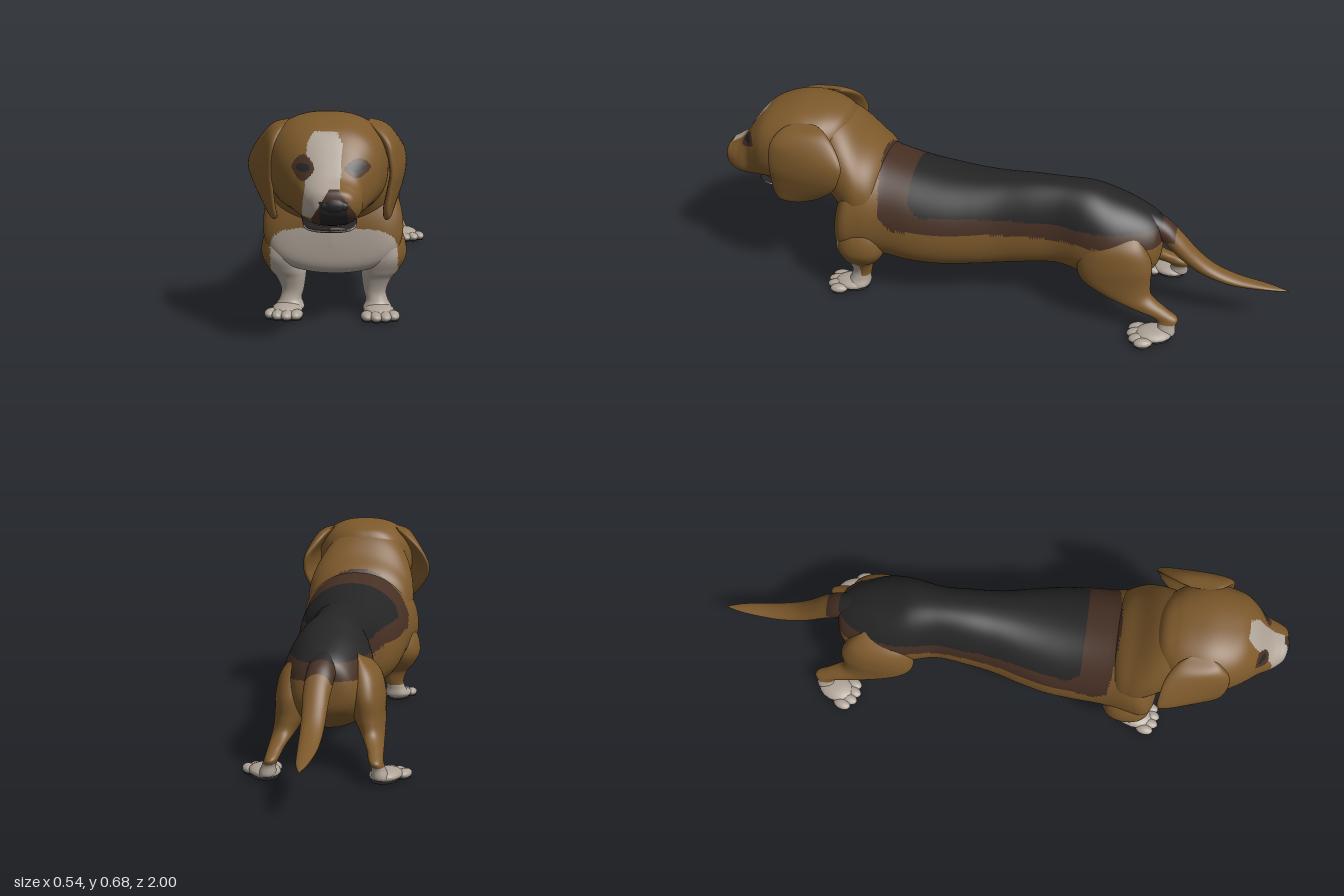
import * as THREE from 'three';

const colours = {
  tan: 0x7d592b, brown: 0x473024, black: 0x252525, white: 0xaea397, pink: 0xb8686c,
};
const NAMES = Object.keys(colours);
const MATS = NAMES.map((name) => {
  const m = new THREE.MeshStandardMaterial({ color: colours[name] });
  m.name = name;
  return m;
});
const mat = (name) => MATS[NAMES.indexOf(name)];

// Smooth skin through cross-sections, each face coloured by paint(x, y, z).
// axis 'z': rows [z, bottom, top, centreX, halfWidth], z ascending.
// axis 'y': rows [y, back, front, centreX, halfWidth], y descending.
// An optional sixth value slants a section sideways; taper narrows its upper half.
function loft(name, axis, rows, paint, { steps = 8, sides = 48, power = 0.9, taper = 0 } = {}) {
  const curve = (pick) => new THREE.CatmullRomCurve3(rows.map((r) => new THREE.Vector3(...pick(r))), false, 'catmullrom', 0.5);
  const spine = curve((r) => [r[0], r[1], r[2]]);
  const width = curve((r) => [r[3], r[4], r[5] ?? 0]);
  const n = (rows.length - 1) * steps;
  const round = (v) => Math.sign(v) * Math.abs(v) ** power;
  const pos = [];
  for (let i = 0; i <= n; i++) {
    const s = spine.getPoint(i / n), w = width.getPoint(i / n);
    const mid = (s.y + s.z) / 2, half = Math.max(0, (s.z - s.y) / 2), hw = Math.max(0, w.y);
    for (let j = 0; j < sides; j++) {
      const t = (j / sides) * Math.PI * 2;
      const dv = half * round(Math.sin(t));
      const x = w.x + hw * round(Math.cos(t)) * (1 - taper * Math.sin(t)) + w.z * dv;
      if (axis === 'z') pos.push(x, mid + dv, s.x);
      else pos.push(x, s.x, mid + dv);
    }
  }
  const buckets = NAMES.map(() => []);
  const addFace = (...abc) => {
    const mean = [0, 1, 2].map((o) => abc.reduce((sum, v) => sum + pos[v * 3 + o], 0) / 3);
    buckets[NAMES.indexOf(paint(...mean))].push(...abc);
  };
  for (let i = 0; i < n; i++) {
    for (let j = 0; j < sides; j++) {
      const a = i * sides + j, b = i * sides + ((j + 1) % sides);
      addFace(a, b, b + sides);
      addFace(a, b + sides, a + sides);
    }
  }
  const geo = new THREE.BufferGeometry();
  geo.setAttribute('position', new THREE.Float32BufferAttribute(pos, 3));
  geo.setIndex(buckets.flat());
  let start = 0;
  buckets.forEach((b, m) => {
    if (b.length) geo.addGroup(start, b.length, m);
    start += b.length;
  });
  geo.computeVertexNormals();
  const mesh = new THREE.Mesh(geo, MATS);
  mesh.name = name;
  return mesh;
}

function ball(name, colour, p, r) {
  const mesh = new THREE.Mesh(new THREE.SphereGeometry(1, 16, 10), mat(colour));
  mesh.name = name;
  mesh.position.set(...p);
  mesh.scale.set(...r);
  return mesh;
}

// Saddle marking with a dark border, shared by body, neck and tail root
function coat(x, y, z) {
  const inside = (front, back, low) =>
    z < front && z > back && y > low + Math.max(0, z - front + 0.06) ** 2 * 12;
  if (inside(0.31, -0.555, 0.365)) return 'black';
  if (inside(0.425 - x * x * 0.5, -0.6, 0.31)) return 'brown';
  return 'tan';
}
// White bib, rounded at its upper corners
const bib = (x, y, z) =>
  z > 0.49 && y > 0.14 && (Math.abs(x - 0.005) / 0.2) ** 4 + (Math.max(0, y - 0.19) / 0.107) ** 4 < 1;

const bodyPaint = (x, y, z) => (bib(x, y, z) ? 'white' : coat(x, y, z));
const frontLegPaint = (x, y, z) =>
  y < 0.065 || bib(x, y, z) || (y < 0.16 && z > 0.49 && Math.abs(x) < 0.19) ? 'white' : 'tan';
const rearLegPaint = (x, y) => (y < 0.058 ? 'white' : 'tan');

// Face: nose surround, eyes and blaze
function facePaint(x, y, z) {
  if (z > 0.9 && Math.abs(x - 0.037) < 0.04 && y < 0.465) return 'black';
  if (z > 0.89 && Math.abs(x - 0.035) < 0.064 - Math.max(0, y - 0.43) * 0.7 && y < 0.498 && x > -0.04 + (y - 0.39) * 0.6) return 'brown';
  if (z > 0.76) {
    for (const [ex, rx, ry] of [[-0.057, 0.034, 0.036], [0.1, 0.036, 0.026]]) {
      const dx = Math.abs(x - ex), dy = Math.abs(y - 0.545);
      if ((dx / 0.022) ** 2 + (dy / 0.011) ** 2 < 1) return 'black';
      if ((dx / rx) ** 1.5 + (dy / ry) ** 1.5 < 1) return 'brown';
    }
    const left = -0.048 - Math.max(0, 0.5 - y) * 0.12;
    const corner = Math.max(0, y - 0.61) * 0.6;
    if (y > 0.41 && y < 0.64 && x > left + corner && x < 0.054 - corner) return 'white';
  }
  return 'tan';
}

// Paw with four fanned toes and dark soles
function paw(name, x, z, turn, size) {
  const g = new THREE.Group();
  g.name = name;
  g.add(ball('pawPad', 'white', [0, 0.022, 0], [0.043, 0.021, 0.056]));
  g.add(ball('pawSole', 'black', [0, 0.005, -0.005], [0.036, 0.005, 0.046]));
  for (let i = 0; i < 4; i++) {
    const a = (i - 1.5) * 0.42;
    const tx = Math.sin(a) * 0.062, tz = Math.cos(a) * 0.062 - 0.01;
    g.add(ball('toe', 'white', [tx, 0.017, tz], [0.018, 0.015, 0.028]));
    g.add(ball('toeSole', 'black', [tx, 0.004, tz], [0.015, 0.004, 0.024]));
  }
  g.position.set(x, 0, z);
  g.rotation.y = turn;
  g.scale.set(size, 1, size);
  return g;
}

export function createModel() {
  const dog = new THREE.Group();
  dog.name = 'dog';

  dog.add(loft('body', 'z', [
    [-0.56, 0.29, 0.31, 0.01, 0], [-0.55, 0.22, 0.36, 0.01, 0.07], [-0.52, 0.18, 0.39, 0.01, 0.105],
    [-0.45, 0.135, 0.425, 0.01, 0.135], [-0.38, 0.135, 0.45, 0.01, 0.148], [-0.3, 0.145, 0.475, 0.01, 0.138],
    [-0.2, 0.16, 0.48, 0.01, 0.117], [-0.1, 0.15, 0.478, 0.01, 0.124], [0, 0.135, 0.47, 0.01, 0.137],
    [0.1, 0.125, 0.465, 0.01, 0.163], [0.2, 0.118, 0.468, 0.01, 0.185], [0.3, 0.118, 0.48, 0.01, 0.195],
    [0.4, 0.13, 0.5, 0.005, 0.2], [0.48, 0.14, 0.52, 0, 0.213], [0.53, 0.143, 0.49, 0, 0.218],
    [0.56, 0.15, 0.42, 0, 0.2], [0.58, 0.18, 0.35, 0, 0.145], [0.587, 0.25, 0.29, 0, 0],
  ], bodyPaint, { steps: 12, sides: 96, taper: 0.12 }));

  dog.add(loft('neck', 'z', [
    [0.38, 0.35, 0.44, 0, 0], [0.42, 0.25, 0.51, 0, 0.16], [0.48, 0.25, 0.56, 0, 0.197],
    [0.54, 0.28, 0.62, -0.005, 0.19], [0.6, 0.33, 0.655, -0.01, 0.165], [0.66, 0.36, 0.66, -0.01, 0.14],
    [0.7, 0.45, 0.6, -0.01, 0],
  ], coat, { sides: 64, taper: 0.08 }));

  dog.add(loft('tail', 'z', [
    [-1, 0.143, 0.148, 0.02, 0], [-0.93, 0.145, 0.161, 0.02, 0.018], [-0.82, 0.148, 0.18, 0.02, 0.03],
    [-0.74, 0.165, 0.212, 0.02, 0.035], [-0.68, 0.19, 0.26, 0.02, 0.038], [-0.62, 0.235, 0.325, 0.02, 0.042],
    [-0.57, 0.28, 0.37, 0.015, 0.045], [-0.5, 0.33, 0.4, 0.01, 0.04], [-0.47, 0.36, 0.4, 0.01, 0],
  ], coat, { power: 1 }));

  // Head, turned slightly to its left
  dog.add(loft('head', 'z', [
    [0.52, 0.5, 0.55, -0.015, 0], [0.55, 0.42, 0.635, -0.012, 0.1], [0.6, 0.385, 0.663, -0.006, 0.152],
    [0.66, 0.37, 0.675, -0.002, 0.176], [0.72, 0.37, 0.677, 0, 0.18], [0.78, 0.38, 0.665, 0.003, 0.17],
    [0.83, 0.385, 0.645, 0.01, 0.15], [0.87, 0.38, 0.608, 0.015, 0.122], [0.9, 0.378, 0.565, 0.02, 0.1],
    [0.93, 0.384, 0.525, 0.028, 0.088], [0.96, 0.396, 0.505, 0.034, 0.073], [0.985, 0.42, 0.49, 0.038, 0.05],
    [0.995, 0.45, 0.46, 0.04, 0],
  ], facePaint, { steps: 12, sides: 120, power: 0.82 }));

  dog.add(ball('nose', 'black', [0.04, 0.453, 0.963], [0.049, 0.031, 0.037]));
  for (const s of [-1, 1]) dog.add(ball('nostril', 'black', [0.04 + s * 0.024, 0.452, 0.978], [0.021, 0.017, 0.017]));

  // Open mouth
  dog.add(loft('lowerJaw', 'z', [
    [0.66, 0.37, 0.39, 0, 0], [0.7, 0.35, 0.39, 0.002, 0.075], [0.78, 0.34, 0.374, 0.01, 0.08],
    [0.84, 0.342, 0.37, 0.014, 0.07], [0.88, 0.352, 0.37, 0.017, 0.045], [0.895, 0.36, 0.366, 0.018, 0],
  ], (x, y, z) => (z < 0.73 ? 'tan' : y > 0.359 ? 'black' : 'white')));
  dog.add(ball('tongue', 'pink', [0.018, 0.372, 0.82], [0.054, 0.011, 0.062]));

  // Hanging ears; the right one flares out at the back
  dog.add(loft('leftEar', 'y', [
    [0.65, 0.63, 0.7, 0.12, 0], [0.635, 0.59, 0.745, 0.148, 0.022], [0.6, 0.55, 0.775, 0.178, 0.024],
    [0.55, 0.52, 0.785, 0.201, 0.02, -0.08], [0.5, 0.53, 0.785, 0.207, 0.018, -0.1], [0.45, 0.555, 0.785, 0.198, 0.018, -0.1],
    [0.4, 0.61, 0.782, 0.184, 0.017, -0.06], [0.37, 0.67, 0.765, 0.178, 0.012], [0.36, 0.7, 0.74, 0.176, 0],
  ], () => 'tan', { steps: 6, sides: 36 }));
  dog.add(loft('rightEar', 'y', [
    [0.65, 0.65, 0.72, -0.12, 0], [0.635, 0.61, 0.755, -0.145, 0.024, 0.1], [0.6, 0.58, 0.785, -0.173, 0.024, 0.2],
    [0.55, 0.57, 0.795, -0.197, 0.02, 0.33], [0.5, 0.57, 0.795, -0.208, 0.018, 0.4], [0.45, 0.59, 0.795, -0.198, 0.017, 0.38],
    [0.4, 0.64, 0.79, -0.178, 0.015, 0.3], [0.37, 0.69, 0.775, -0.163, 0.012, 0.2], [0.36, 0.72, 0.75, -0.16, 0],
  ], () => 'tan', { steps: 6, sides: 36 }));

  // Legs and paws
  for (const s of [1, -1]) {
    const side = s > 0 ? 'left' : 'right';
    const mirror = (rows) => rows.map(([y, b, f, x, w]) => [y, b, f, s * x, w]);
    dog.add(loft(side + 'FrontLeg', 'y', mirror([
      [0.34, 0.45, 0.52, 0.15, 0], [0.27, 0.41, 0.56, 0.16, 0.053], [0.2, 0.4, 0.57, 0.163, 0.067],
      [0.15, 0.42, 0.555, 0.148, 0.06], [0.12, 0.45, 0.54, 0.136, 0.047], [0.08, 0.46, 0.53, 0.131, 0.036],
      [0.05, 0.465, 0.535, 0.137, 0.035], [0.02, 0.468, 0.55, 0.14, 0.045], [0.01, 0.5, 0.52, 0.14, 0],
    ]), frontLegPaint, { sides: 60 }));
    dog.add(loft(side + 'RearLeg', 'y', mirror([
      [0.38, -0.45, -0.38, 0.09, 0], [0.32, -0.505, -0.31, 0.11, 0.045], [0.25, -0.535, -0.28, 0.12, 0.056],
      [0.18, -0.535, -0.29, 0.127, 0.052], [0.135, -0.545, -0.36, 0.14, 0.04], [0.1, -0.6, -0.46, 0.155, 0.028],
      [0.075, -0.64, -0.55, 0.163, 0.023], [0.05, -0.635, -0.575, 0.172, 0.022], [0.02, -0.635, -0.565, 0.178, 0.026],
      [0.01, -0.61, -0.59, 0.18, 0],
    ]), rearLegPaint));
    dog.add(paw(side + 'FrontPaw', s * 0.145, 0.53, s * 0.15, 1.13));
    dog.add(paw(side + 'RearPaw', s * 0.192, -0.565, s * 0.35, 1.18));
  }
  return dog;
}
